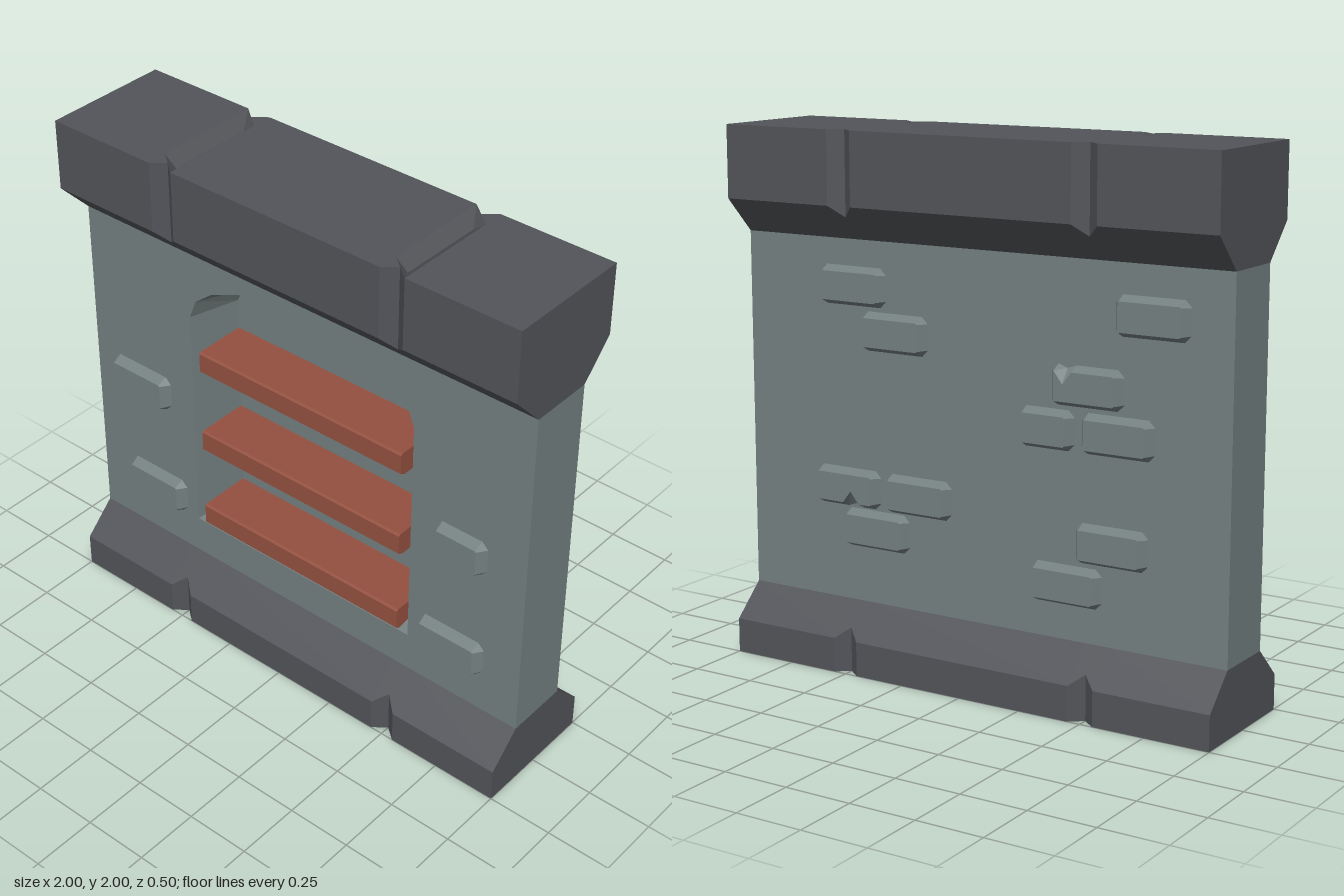
import * as THREE from 'three';

const wallStone = new THREE.MeshStandardMaterial({ name: 'wallStone', color: 0x748080 });
const darkStone = new THREE.MeshStandardMaterial({ name: 'darkStone', color: 0x525459, side: THREE.DoubleSide });
const wood = new THREE.MeshStandardMaterial({ name: 'wood', color: 0x94503f });

// Flat-faced skin through matching rings of [x, y, z], plus optional convex end fans
function loft(rings, closed, ends = []) {
  const pos = [];
  const tri = (a, b, c) => pos.push(...a, ...b, ...c);
  for (let i = 0; i < rings.length - 1; i++) {
    const r = rings[i], s = rings[i + 1], n = r.length;
    for (let j = 0; j < (closed ? n : n - 1); j++) {
      const k = (j + 1) % n;
      tri(r[j], r[k], s[k]);
      tri(r[j], s[k], s[j]);
    }
  }
  for (const e of ends) for (let j = 1; j < e.length - 1; j++) tri(e[0], e[j], e[j + 1]);
  const g = new THREE.BufferGeometry();
  g.setAttribute('position', new THREE.Float32BufferAttribute(pos, 3));
  g.computeVertexNormals();
  return g;
}

const at = (pts, z) => pts.map(([x, y]) => [x, y, z]);
const shapeOf = (pts) => new THREE.Shape(pts.map(([x, y]) => new THREE.Vector2(x, y)));

function add(parent, name, geometry, material) {
  const m = new THREE.Mesh(geometry, material);
  m.name = name;
  parent.add(m);
  return m;
}

// Stations along x; the V joints at +-0.5 pull the profile in
const stations = [-1, -0.55, -0.5, -0.45, 0.45, 0.5, 0.55, 1];
const isJoint = (x) => Math.abs(x) === 0.5;

// Heavy coping with flared underside and grooved joints
function capGeometry() {
  const rings = stations.map((x) => {
    const d = isJoint(x) ? 0.21 : 0.25;
    const low = 1.6 + (d - 0.125) * 1.04;
    const dip = isJoint(x) ? 1.96 : 2;
    return [[x, 1.6, -0.125], [x, low, -d], [x, 2, -d], [x, dip, -0.17],
      [x, dip, 0.17], [x, 2, d], [x, low, d], [x, 1.6, 0.125]];
  });
  return loft(rings, false, [[...rings[0]].reverse(), rings[rings.length - 1]]);
}

// One half of the hollow plinth
function baseSide() {
  return loft(stations.map((x) => {
    const d = isJoint(x) ? 0.21 : 0.25;
    return [[x, 0.25, 0.125], [x, 0.25 - (d - 0.125) * 0.96, d], [x, 0, d]];
  }), false);
}

function baseEnds() {
  const end = (x) => [[x, 0.25, 0.125], [x, 0.13, 0.25], [x, 0, 0.25], [x, 0, -0.25], [x, 0.13, -0.25], [x, 0.25, -0.125]];
  return loft([], false, [end(1), end(-1).reverse()]);
}

// Chamfered raised stone; chip is the x of a notch in its lower edge
function brickGeometry(w, chip) {
  const ring = (a, b, c, rise) => {
    const notch = chip === undefined ? [] : [[chip - 0.035, -b], [chip, -b + rise], [chip + 0.035, -b]];
    return [[-a + c, -b], ...notch, [a - c, -b], [a, -b + c], [a, b - c], [a - c, b], [-a + c, b], [-a, b - c], [-a, -b + c]];
  };
  const outer = ring(w / 2, 0.072, 0.025, 0.012);
  const inner = ring(w / 2 - 0.024, 0.053, 0.004, 0.045);
  return [loft([at(outer, 0), at(inner, 0.038)], true), new THREE.ShapeGeometry(shapeOf(inner)).translate(0, 0, 0.038)];
}

function addBrick(parent, x, y, z, { w = 0.285, chip, back = false, flip = false } = {}) {
  const g = new THREE.Group();
  g.name = 'raisedBrick';
  const [sides, face] = brickGeometry(w, chip);
  add(g, 'brickSides', sides, wallStone);
  add(g, 'brickFace', face, wallStone);
  g.position.set(x, y, z);
  g.rotation.set(0, back ? Math.PI : 0, flip ? Math.PI : 0);
  parent.add(g);
}

// Counter-clockwise arch outline from its right half
function arch(half) {
  return [...half, ...half.map(([x, y]) => [-x, y]).reverse()];
}

export function createModel() {
  const model = new THREE.Group();
  model.name = 'barredWall';

  // Wall slab with a tapering arched niche
  const wall = new THREE.Group();
  wall.name = 'wall';
  model.add(wall);
  const rect = [[-1, 0.25], [1, 0.25], [1, 1.6], [-1, 1.6]];
  const outer = arch([[0.51, 0.405], [0.51, 1.33], [0.481, 1.407], [0.4, 1.472], [0.275, 1.525], [0.095, 1.557]]);
  const inner = arch([[0.465, 0.44], [0.465, 1.32], [0.438, 1.375], [0.37, 1.43], [0.26, 1.477], [0.09, 1.508]]);
  const niche = -0.08;
  const front = shapeOf(rect);
  front.holes.push(new THREE.Path(outer.map(([x, y]) => new THREE.Vector2(x, y))));
  add(wall, 'wallFront', new THREE.ShapeGeometry(front).translate(0, 0, 0.125), wallStone);
  add(wall, 'wallSidesAndBack', loft([at(rect, -0.125), at(rect, 0.125)], true, [at(rect, -0.125).reverse()]), wallStone);
  add(wall, 'nicheReveal', loft([at(outer, 0.125), at(inner, niche)], true), wallStone);
  add(wall, 'nichePanel', new THREE.ShapeGeometry(shapeOf(inner)).translate(0, 0, niche), wallStone);

  // Coping and plinth
  add(model, 'topCap', capGeometry(), darkStone);
  const base = new THREE.Group();
  base.name = 'base';
  model.add(base);
  add(base, 'baseFront', baseSide(), darkStone);
  add(base, 'baseBack', baseSide().rotateY(Math.PI), darkStone);
  add(base, 'baseEnds', baseEnds(), darkStone);

  // Planks across the niche
  const section = [[-0.08, 0], [0.112, 0], [0.132, 0.012], [0.132, 0.088], [0.125, 0.095], [-0.08, 0.095]];
  const plankEnd = (x) => section.map(([z, y]) => [x, y, z]).reverse();
  for (const y of [0.405, 0.752, 1.105]) {
    const g = loft([plankEnd(-0.465), plankEnd(0.465)], true, [plankEnd(-0.465).reverse(), plankEnd(0.465)]);
    add(model, 'plank', g, wood).position.y = y;
  }

  // Raised bricks on the front and in the niche
  addBrick(model, -0.767, 0.93, 0.125);
  addBrick(model, -0.707, 0.478, 0.125);
  addBrick(model, 0.703, 0.478, 0.125);
  addBrick(model, 0.728, 0.93, 0.125, { w: 0.22 });
  addBrick(model, 0.195, 1.028, niche, { chip: 0.05 });
  addBrick(model, -0.228, 0.685, niche);

  // Raised bricks on the back
  const back = [[0.53, 1.43], [0.35, 1.27], [-0.7, 1.42], [-0.57, 1.0], [0.25, 0.68], [0.435, 0.53], [-0.55, 0.61], [-0.37, 0.45]];
  for (const [x, y] of back) addBrick(model, x, y, -0.125, { back: true });
  addBrick(model, -0.29, 1.0, -0.125, { back: true, w: 0.22 });
  addBrick(model, -0.45, 1.16, -0.125, { back: true, chip: 0.08, flip: true });
  addBrick(model, 0.56, 0.68, -0.125, { back: true, chip: 0.03 });

  return model;
}
